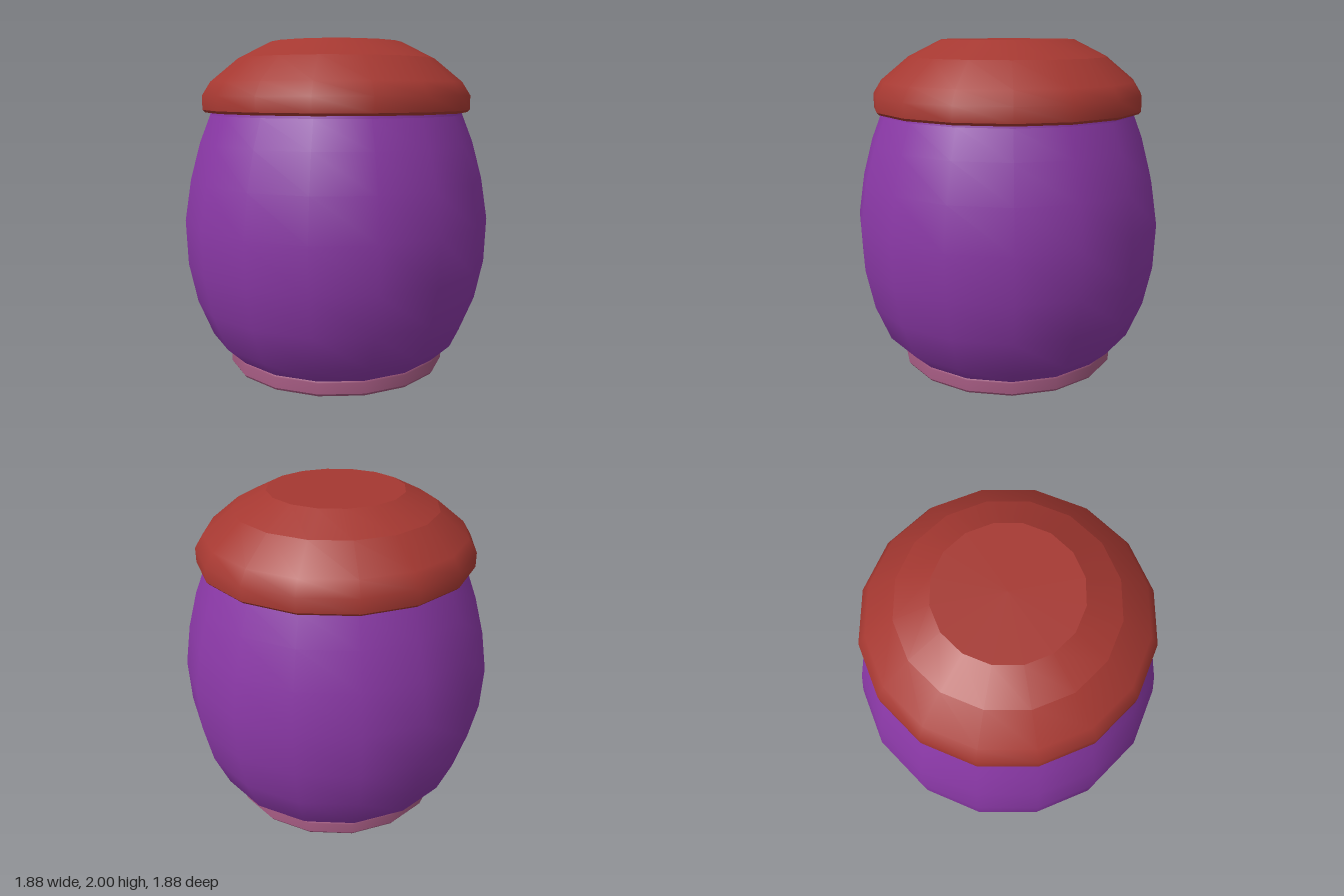
import * as THREE from 'three';

const SIDES = 16;

// Turns each strip of [radius, height] points (bottom to top) as one smooth surface;
// edges between strips stay sharp.
function turned(name, color, strips) {
  const group = new THREE.Group();
  group.name = name;
  const material = new THREE.MeshStandardMaterial({ color });
  strips.forEach((strip, i) => {
    const points = strip.map(([r, y]) => new THREE.Vector2(r, y));
    const mesh = new THREE.Mesh(new THREE.LatheGeometry(points, SIDES), material);
    mesh.name = `${name}Section${i + 1}`;
    group.add(mesh);
  });
  return group;
}

export function createModel() {
  const jar = new THREE.Group();
  jar.name = 'jar';

  // Foot: flat underside, small bevel, short upright band
  jar.add(turned('foot', 0xa55b82, [
    [[0, 0], [0.67, 0]],
    [[0.67, 0], [0.68, 0.015]],
    [[0.68, 0.015], [0.68, 0.08], [0.675, 0.09]],
  ]));

  // Bulging body with a narrow neck ring under the lid
  jar.add(turned('body', 0x8a38a6, [
    [[0.675, 0.09], [0.79, 0.2], [0.88, 0.42], [0.93, 0.66], [0.94, 0.93],
      [0.9, 1.18], [0.84, 1.4], [0.775, 1.565]],
    [[0.775, 1.565], [0.77, 1.585]],
  ]));

  // Lid: underside, rounded rim and shoulder, sloped crown, flat top
  jar.add(turned('lid', 0xa53831, [
    [[0.74, 1.58], [0.805, 1.58]],
    [[0.805, 1.58], [0.82, 1.595]],
    [[0.82, 1.595], [0.82, 1.68], [0.77, 1.76], [0.6, 1.9]],
    [[0.6, 1.9], [0.4, 2]],
    [[0.4, 2], [0, 2]],
  ]));

  return jar;
}
